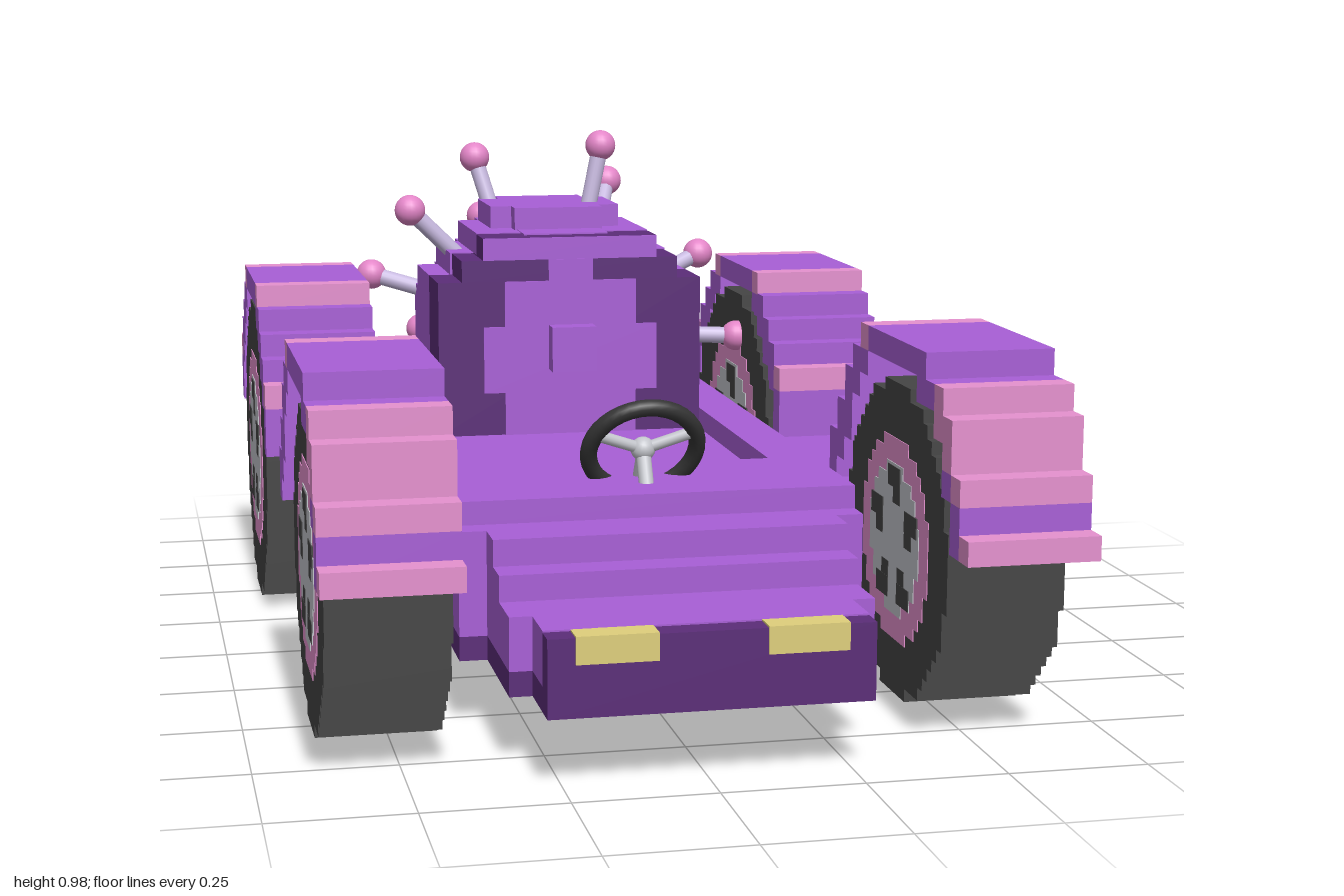
import * as THREE from 'three';

const mat = (name, color) => {
  const m = new THREE.MeshStandardMaterial({ color });
  m.name = name;
  return m;
};

// Disc outline built from square steps
function steppedShape(n, s) {
  const quarter = [];
  for (let j = 0; j < n; j++) {
    const w = Math.max(1, Math.round(Math.sqrt(n * n - (j + 0.5) ** 2))) * s;
    quarter.push([w, j * s], [w, (j + 1) * s]);
  }
  const top = [...quarter, ...quarter.map(([x, y]) => [-x, y]).reverse()];
  const all = [...top, ...top.map(([x, y]) => [-x, -y])];
  const pts = [];
  for (const [x, y] of all) {
    const p = pts[pts.length - 1];
    if (!p || Math.hypot(p.x - x, p.y - y) > 1e-6) pts.push(new THREE.Vector2(x, y));
  }
  if (pts[0].distanceTo(pts[pts.length - 1]) < 1e-6) pts.pop();
  return new THREE.Shape(pts);
}

export function createModel() {
  const root = new THREE.Group();
  root.name = 'buggy';
  const purple = mat('purple', 0xa85fd6);
  const dark = mat('darkPurple', 0x5b2d78);
  const pink = mat('pink', 0xe591cf);
  const rubber = mat('rubber', 0x454545);
  const metal = mat('metal', 0xc4c6cc);
  const yellow = mat('yellow', 0xdfcf7c);
  const lavender = mat('lavender', 0xc6b8de);
  const black = mat('black', 0x343434);
  const magenta = mat('magenta', 0xe386c8);

  const add = (parent, name, geo, material) => {
    const m = new THREE.Mesh(geo, material);
    m.name = name;
    parent.add(m);
    return m;
  };
  // Box given by its limits
  const box = (parent, name, material, x0, x1, y0, y1, z0, z1) => {
    const m = add(parent, name, new THREE.BoxGeometry(x1 - x0, y1 - y0, z1 - z0), material);
    m.position.set((x0 + x1) / 2, (y0 + y1) / 2, (z0 + z1) / 2);
    return m;
  };
  const wide = (parent, name, material, h, ...r) => box(parent, name, material, -h, h, ...r);
  const rod = (parent, name, material, a, b, r) => {
    const d = b.clone().sub(a);
    const m = add(parent, name, new THREE.CylinderGeometry(r, r, d.length(), 16), material);
    m.position.copy(a).addScaledVector(d, 0.5);
    m.quaternion.setFromUnitVectors(new THREE.Vector3(0, 1, 0), d.normalize());
    return m;
  };

  // Body: floor plate, sunken cockpit floor, terraced hood, side sills
  const body = new THREE.Group();
  body.name = 'body';
  root.add(body);
  for (const [h, z0, z1] of [[0.37, -0.77, 0.575], [0.32, 0.575, 0.81], [0.28, 0.81, 0.905]])
    wide(body, 'floorPlate', dark, h, 0.126, 0.17, z0, z1);
  wide(body, 'cockpitFloor', purple, 0.37, 0.17, 0.36, -0.77, 0.575);
  wide(body, 'rearDeck', purple, 0.37, 0.36, 0.403, -0.77, -0.33);
  wide(body, 'frontDeck', purple, 0.37, 0.36, 0.403, 0.25, 0.525);
  wide(body, 'hoodStep', purple, 0.32, 0.17, 0.36, 0.575, 0.645);
  wide(body, 'hoodStep', purple, 0.32, 0.17, 0.312, 0.645, 0.71);
  wide(body, 'hoodStep', purple, 0.32, 0.17, 0.265, 0.71, 0.81);
  wide(body, 'hoodNose', purple, 0.28, 0.17, 0.265, 0.81, 0.905);
  wide(body, 'bumper', dark, 0.28, 0.126, 0.262, 0.905, 0.95);
  wide(body, 'innerSill', purple, 0.41, 0.17, 0.36, -0.26, -0.17);
  wide(body, 'outerSill', purple, 0.555, 0.17, 0.36, -0.17, 0.295);
  for (const s of [-1, 1]) {
    const rail = box(body, 'cockpitRail', purple, -0.045, 0.045, 0.36, 0.403, -0.33, 0.25);
    rail.position.x = s * 0.325;
    const lamp = box(body, 'headlight', yellow, -0.07, 0.07, 0.217, 0.265, 0.904, 0.953);
    lamp.position.x = s * 0.163;
  }

  // Seat shell, with its padded back as thin panels
  const seat = new THREE.Group();
  seat.name = 'seat';
  root.add(seat);
  wide(seat, 'seatShell', dark, 0.28, 0.36, 0.685, -0.45, -0.31);
  wide(seat, 'seatShell', dark, 0.23, 0.685, 0.73, -0.45, -0.31);
  wide(seat, 'seatTop', dark, 0.185, 0.73, 0.776, -0.44, -0.312);
  wide(seat, 'seatTopFace', purple, 0.185, 0.73, 0.776, -0.312, -0.308);
  for (const [h, y0, y1] of [[0.14, 0.36, 0.45], [0.185, 0.45, 0.59], [0.14, 0.59, 0.685], [0.047, 0.685, 0.73]])
    wide(seat, 'seatPad', purple, h, y0, y1, -0.312, -0.305);
  wide(seat, 'headCushion', purple, 0.047, 0.498, 0.592, -0.31, -0.262);

  // Stepped dome behind the seat: layers [bottom, top, front z, [half width, back z]...]
  const dome = new THREE.Group();
  dome.name = 'dome';
  root.add(dome);
  for (const [y0, y1, front, ...blocks] of [
    [0.4, 0.64, -0.45, [0.28, -0.69], [0.235, -0.775], [0.185, -0.82]],
    [0.45, 0.64, -0.45, [0.095, -0.866]],
    [0.64, 0.685, -0.45, [0.28, -0.645], [0.235, -0.69], [0.185, -0.775], [0.095, -0.82]],
    [0.685, 0.732, -0.45, [0.235, -0.67], [0.185, -0.72], [0.095, -0.79]],
    [0.732, 0.778, -0.4, [0.185, -0.67], [0.14, -0.72], [0.095, -0.765]],
    [0.732, 0.779, -0.36, [0.09, -0.6]],
    [0.778, 0.825, -0.49, [0.14, -0.67]],
    [0.778, 0.825, -0.445, [0.095, -0.72]],
  ]) for (const [h, back] of blocks) wide(dome, 'domeBlock', purple, h, y0, y1, back, front);

  // Ball-tipped spines: base, then tip
  for (const [bx, by, bz, tx, ty, tz] of [
    [0.085, 0.8, -0.56, 0.117, 0.947, -0.57], [-0.105, 0.78, -0.66, -0.142, 0.915, -0.7],
    [0.13, 0.74, -0.68, 0.177, 0.85, -0.795], [-0.19, 0.7, -0.53, -0.311, 0.818, -0.515],
    [-0.24, 0.62, -0.67, -0.373, 0.656, -0.725], [0.24, 0.635, -0.655, 0.371, 0.688, -0.706],
    [0.26, 0.535, -0.505, 0.405, 0.53, -0.485], [-0.17, 0.49, -0.81, -0.24, 0.503, -0.913],
    [-0.06, 0.66, -0.77, -0.095, 0.762, -0.92], [0.08, 0.57, -0.85, 0.125, 0.598, -0.968],
  ]) {
    const tip = new THREE.Vector3(tx, ty, tz);
    rod(root, 'spine', lavender, new THREE.Vector3(bx, by, bz), tip, 0.018);
    add(root, 'spineBall', new THREE.SphereGeometry(0.033, 20, 14), magenta).position.copy(tip);
  }

  // Exhaust pipes
  for (const s of [-1, 1]) {
    const a = new THREE.Vector3(s * 0.17, 0.3, -0.75), b = new THREE.Vector3(s * 0.17, 0.312, -0.855);
    rod(root, 'exhaustPipe', metal, a, b, 0.039);
    rod(root, 'exhaustOpening', rubber, b, b.clone().add(new THREE.Vector3(0, 0.0005, -0.003)), 0.022);
  }

  // Steering wheel, top leaning forward
  const steering = new THREE.Group();
  steering.name = 'steeringWheel';
  steering.position.set(0.001, 0.46, 0.395);
  steering.rotation.x = 0.56;
  root.add(steering);
  add(steering, 'steeringRim', new THREE.TorusGeometry(0.102, 0.016, 12, 36), black);
  add(steering, 'steeringHub', new THREE.SphereGeometry(0.023, 16, 12), metal);
  const hub = new THREE.Vector3();
  for (const a of [0.4, Math.PI - 0.4, -Math.PI / 2])
    rod(steering, 'steeringSpoke', metal, hub, new THREE.Vector3(Math.cos(a) * 0.1, Math.sin(a) * 0.1, 0), 0.011);
  rod(steering, 'steeringColumn', metal, hub, new THREE.Vector3(0, -0.06, 0.1), 0.014);

  // Wheels: stepped tyre, rim and slotted hub, nearly flush on both faces
  const disc = (parent, name, material, n, s, half) => {
    const g = new THREE.ExtrudeGeometry(steppedShape(n, s), { depth: half * 2, bevelEnabled: false });
    g.rotateY(Math.PI / 2);
    add(parent, name, g, material).position.x = -half;
  };
  const wheel = (name, side, z, R, half) => {
    const w = new THREE.Group();
    w.name = name;
    w.position.set(side * 0.53, R > 0.3 ? 0.311 : 0.317, z);
    root.add(w);
    const s = R / 12, inner = s * 0.97;
    disc(w, 'tyre', rubber, 12, s, half);
    disc(w, 'rim', pink, 8, inner, half + 0.0015);
    disc(w, 'hub', metal, 6, inner, half + 0.003);
    // Five L-shaped slots around the hub
    for (let i = 0; i < 5; i++) {
      const a = Math.PI / 2 + (i * Math.PI * 2) / 5;
      const cz = Math.cos(a) * s * 4.2, cy = Math.sin(a) * s * 4.2;
      const oz = (i === 0 ? 1 : -Math.sign(cz)) * s * 0.6, oy = -Math.sign(cy) * s * 0.6;
      box(w, 'hubSlot', rubber, -half - 0.0045, half + 0.0045, cy - oy - s * 0.8, cy - oy + s * 0.8, cz - s * 1.4, cz + s * 1.4);
      box(w, 'hubSlot', rubber, -half - 0.004, half + 0.004, cy + oy - s * 0.8, cy + oy + s * 0.8, cz + oz - s * 0.8, cz + oz + s * 0.8);
    }
  };

  // Fenders: one box per column [bottom, top, where pink starts]
  const P = 9;
  const roof = [0.637, 0.684, P];
  const frontCols = [[0.36, 0.403, 0.36], [0.36, 0.497, 0.45], [0.45, 0.59, 0.497], [0.543, 0.637, 0.543], [0.59, 0.637, P],
    [0.59, 0.684, P], roof, roof, roof, roof, roof, roof, [0.59, 0.684, 0.637], [0.543, 0.637, P], [0.45, 0.59, P],
    [0.403, 0.52, P], [0.36, 0.455, P]];
  const half = [[0.36, 0.505, 0.457], [0.45, 0.55, P], [0.497, 0.595, P], [0.55, 0.64, P], [0.59, 0.684, 0.637], roof, roof, roof];
  const rearCols = [...half, ...half.slice().reverse()];
  const fender = (name, side, zStart, step, cols) => {
    const f = new THREE.Group();
    f.name = name;
    root.add(f);
    const [x0, x1] = side > 0 ? [0.418, 0.652] : [-0.652, -0.418];
    cols.forEach(([b, t, p], i) => {
      const z1 = zStart - i * step, z0 = z1 - step, split = Math.min(p, t);
      if (split > b) box(f, 'fenderStep', purple, x0, x1, b, split, z0, z1);
      if (split < t) box(f, 'fenderStripe', pink, x0, x1, split, t, z0, z1);
    });
  };
  for (const s of [-1, 1]) {
    const n = s > 0 ? 'left' : 'right';
    wheel(n + 'FrontWheel', s, 0.597, 0.286, 0.106);
    wheel(n + 'RearWheel', s, -0.537, 0.311, 0.1185);
    fender(n + 'FrontFender', s, 1.0, 0.0469, frontCols);
    fender(n + 'RearFender', s, -0.168, 0.0464, rearCols);
  }
  return root;
}
